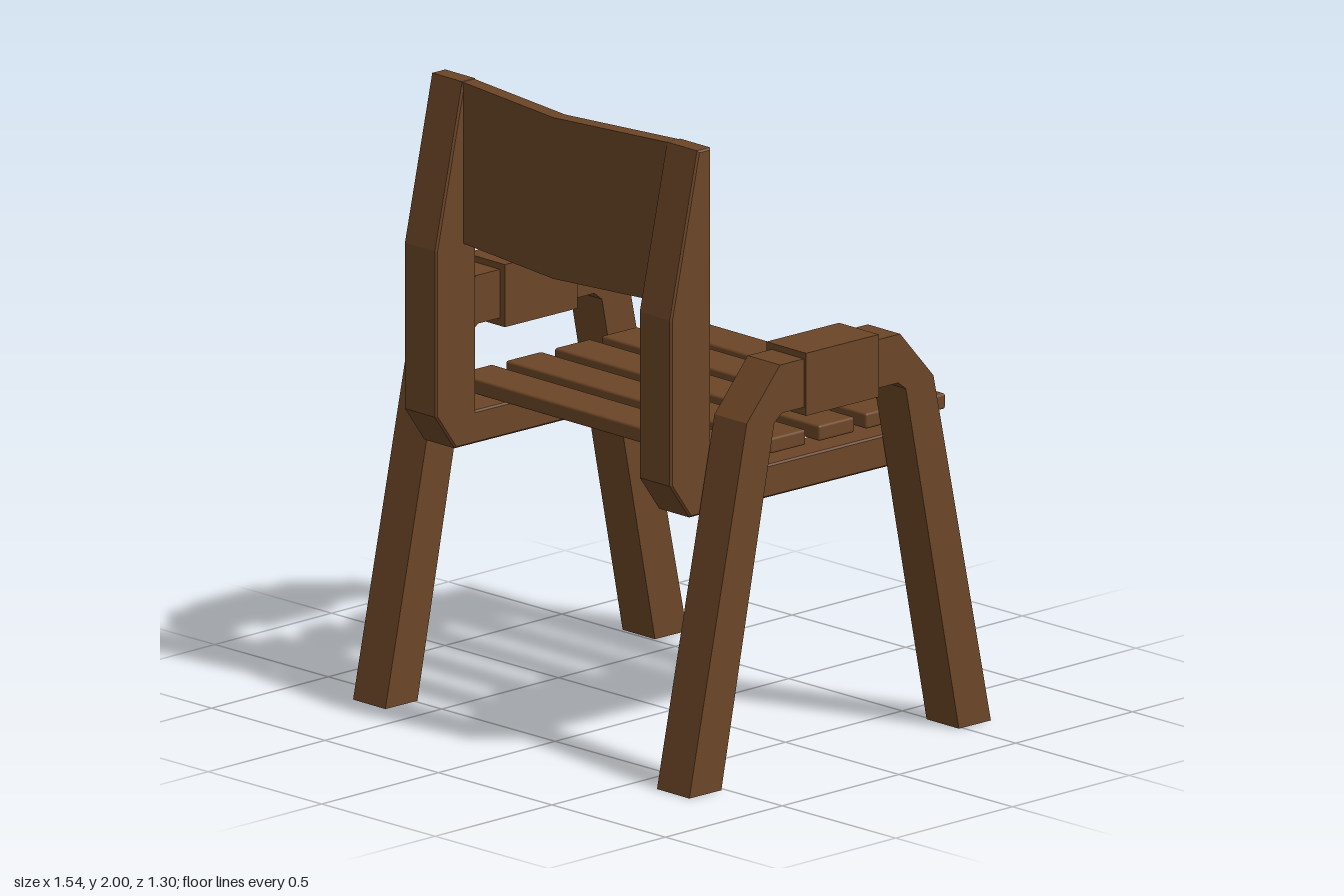
import * as THREE from 'three';
import { RoundedBoxGeometry } from 'three/addons/geometries/RoundedBoxGeometry.js';

const wood = new THREE.MeshStandardMaterial({ color: 0x6b4526 });

function add(parent, name, geometry, x = 0, y = 0, z = 0) {
  const mesh = new THREE.Mesh(geometry, wood);
  mesh.name = name;
  mesh.position.set(x, y, z);
  parent.add(mesh);
  return mesh;
}

function outline(points) {
  return new THREE.Shape(points.map(([a, b]) => new THREE.Vector2(a, b)));
}

// Board cut from a side outline of [z, y] points, centred on x = 0
function sideBoard(points, width, bevel = 0) {
  const geometry = new THREE.ExtrudeGeometry(outline(points), {
    depth: width - 2 * bevel,
    bevelEnabled: bevel > 0,
    bevelThickness: bevel,
    bevelSize: bevel,
    bevelOffset: -bevel,
    bevelSegments: 1,
  });
  geometry.translate(0, 0, bevel - width / 2);
  return geometry.rotateY(-Math.PI / 2);
}

export function createModel() {
  const chair = new THREE.Group();
  chair.name = 'chair';

  // Splayed pair of legs joined over the top, mirrored front to back
  const outer = [[0.635, 0], [0.393, 1.15], [0.253, 1.31]];
  const inner = [[0.245, 1.155], [0.277, 1.13], [0.5, 0]];
  const flip = (pts) => pts.map(([z, y]) => [-z, y]).reverse();
  const legArch = sideBoard([...outer, ...flip(outer), ...flip(inner), ...inner], 0.145);

  // Seat rail and back post in one L-shaped piece
  const frame = sideBoard([
    [-0.47, 0.94], [-0.47, 0.85], [-0.455, 0.835], [0.485, 0.835], [0.567, 0.95],
    [0.567, 1.48], [0.452, 2], [0.397, 2], [0.397, 0.94],
  ], 0.146, 0.006);

  for (const [side, label] of [[1, 'left'], [-1, 'right']]) {
    add(chair, label + 'LegArch', legArch, side * 0.682);
    add(chair, label + 'SeatRailAndBackPost', frame, side * 0.527);
    add(chair, label + 'Armrest', new THREE.BoxGeometry(0.178, 0.2, 0.306), side * 0.676, 1.23, 0);
  }

  // Seat slats with softened edges
  for (const z of [-0.52, -0.335, -0.137, 0.068, 0.275]) {
    add(chair, 'seatSlat', new RoundedBoxGeometry(1.19, 0.05, 0.15, 2, 0.008), 0, 0.995, z);
  }

  // Backrest panel, bent at its middle, with a slight sag there
  const bend = outline([
    [-0.47, -0.4], [0, -0.45], [0.47, -0.4], [0.47, -0.45], [0, -0.5], [-0.47, -0.45],
  ].reverse());
  const panel = new THREE.ExtrudeGeometry(bend, { depth: 0.515, bevelEnabled: false });
  panel.rotateX(-Math.PI / 2);
  const p = panel.attributes.position;
  for (let i = 0; i < p.count; i++) {
    p.setY(i, p.getY(i) - 0.008 * (1 - Math.abs(p.getX(i)) / 0.47));
  }
  panel.computeVertexNormals();
  add(chair, 'backrestPanel', panel, 0, 1.484, 0);

  // The whole chair is turned very slightly
  chair.rotation.y = -0.0175;
  const model = new THREE.Group();
  model.name = 'slattedArmchair';
  model.add(chair);
  return model;
}
